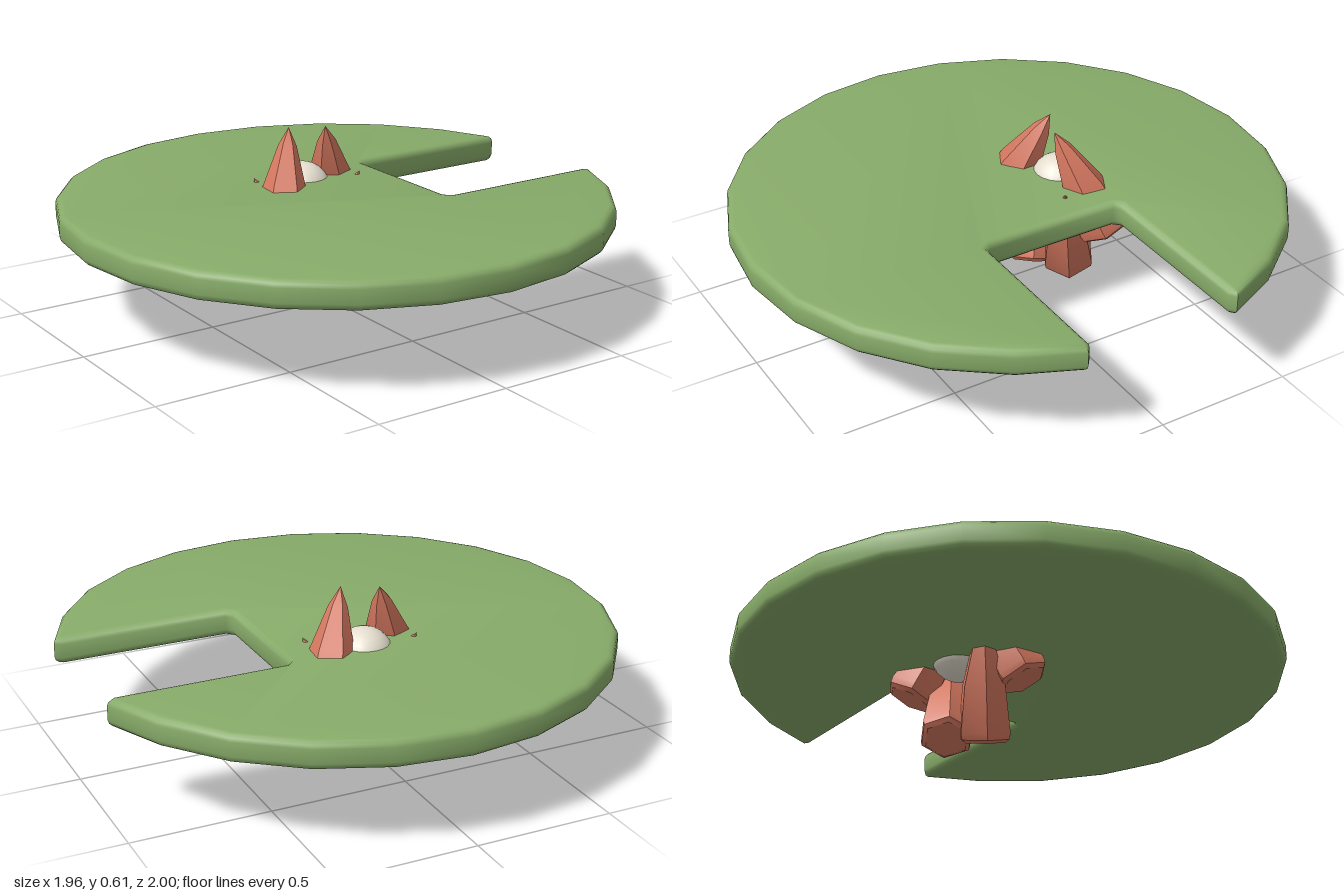
import * as THREE from 'three';
import { toCreasedNormals } from 'three/addons/utils/BufferGeometryUtils.js';

const material = (color) => new THREE.MeshStandardMaterial({ color });

// 24-sided disc with a rectangular notch on +x and rounded rims
function createPad() {
  const bevel = 0.025, notchX = 0.32, notchZ = 0.27, c = 0.02;
  const shape = new THREE.Shape();
  shape.moveTo(0.955, notchZ);
  shape.lineTo(0.98, notchZ + 0.02);
  for (let i = 2; i <= 22; i++) {
    const a = (i / 24) * Math.PI * 2;
    shape.lineTo(0.02 + Math.cos(a), Math.sin(a));
  }
  shape.lineTo(0.98, -notchZ - 0.02);
  shape.lineTo(0.955, -notchZ);
  shape.lineTo(notchX + c, -notchZ);
  shape.lineTo(notchX, -notchZ + c);
  shape.lineTo(notchX, notchZ - c);
  shape.lineTo(notchX + c, notchZ);
  shape.closePath();
  const geometry = new THREE.ExtrudeGeometry(shape, {
    depth: 0.1 - 2 * bevel, bevelEnabled: true, bevelSize: bevel,
    bevelThickness: bevel, bevelOffset: -bevel, bevelSegments: 3,
  });
  geometry.rotateX(-Math.PI / 2);
  geometry.translate(0, 0.335 + bevel, 0);
  const pad = new THREE.Mesh(toCreasedNormals(geometry, 0.9), material(0x87ab69));
  pad.name = 'lilyPad';
  return pad;
}

// Faceted teardrop running from its blunt base to its pointed tip
function createPetal(name, tip, base, color) {
  const axis = new THREE.Vector3().subVectors(tip, base);
  const h = axis.length();
  const profile = [[0, 0], [0.08, 0], [0.096, 0.012], [0.1, 0.035], [0.082, 0.45 * h], [0.034, 0.84 * h], [0, h]]
    .map(([r, y]) => new THREE.Vector2(r, y));
  const geometry = toCreasedNormals(new THREE.LatheGeometry(profile, 6), 0.7);
  const petal = new THREE.Mesh(geometry, color);
  petal.quaternion.setFromUnitVectors(new THREE.Vector3(0, 1, 0), axis.normalize());
  petal.position.copy(base);
  petal.name = name;
  return petal;
}

function createFlower() {
  const flower = new THREE.Group();
  flower.name = 'flower';
  const red = material(0xd4775f);
  const pairs = [
    ['upperPetal', [-0.04, 0.63, -0.215], [-0.17, 0.25, -0.07]],
    ['lowerPetal', [-0.17, 0.45, -0.25], [-0.01, 0.055, -0.125]],
  ];
  // Each petal is repeated half a turn around the flower's axis
  for (const [name, tip, base] of pairs) {
    for (const turn of [false, true]) {
      const place = ([x, y, z]) => turn
        ? new THREE.Vector3(0.04 - x, y, -0.37 - z)
        : new THREE.Vector3(x, y, z);
      flower.add(createPetal(name + (turn ? 'Left' : 'Right'), place(tip), place(base), red));
    }
  }
  const heart = new THREE.Mesh(new THREE.SphereGeometry(0.105, 20, 14), material(0xe6dfd0));
  heart.position.set(0.02, 0.385, -0.217);
  heart.name = 'flowerCentre';
  flower.add(heart);
  return flower;
}

export function createModel() {
  const model = new THREE.Group();
  model.name = 'waterLily';
  model.add(createPad(), createFlower());
  return model;
}
